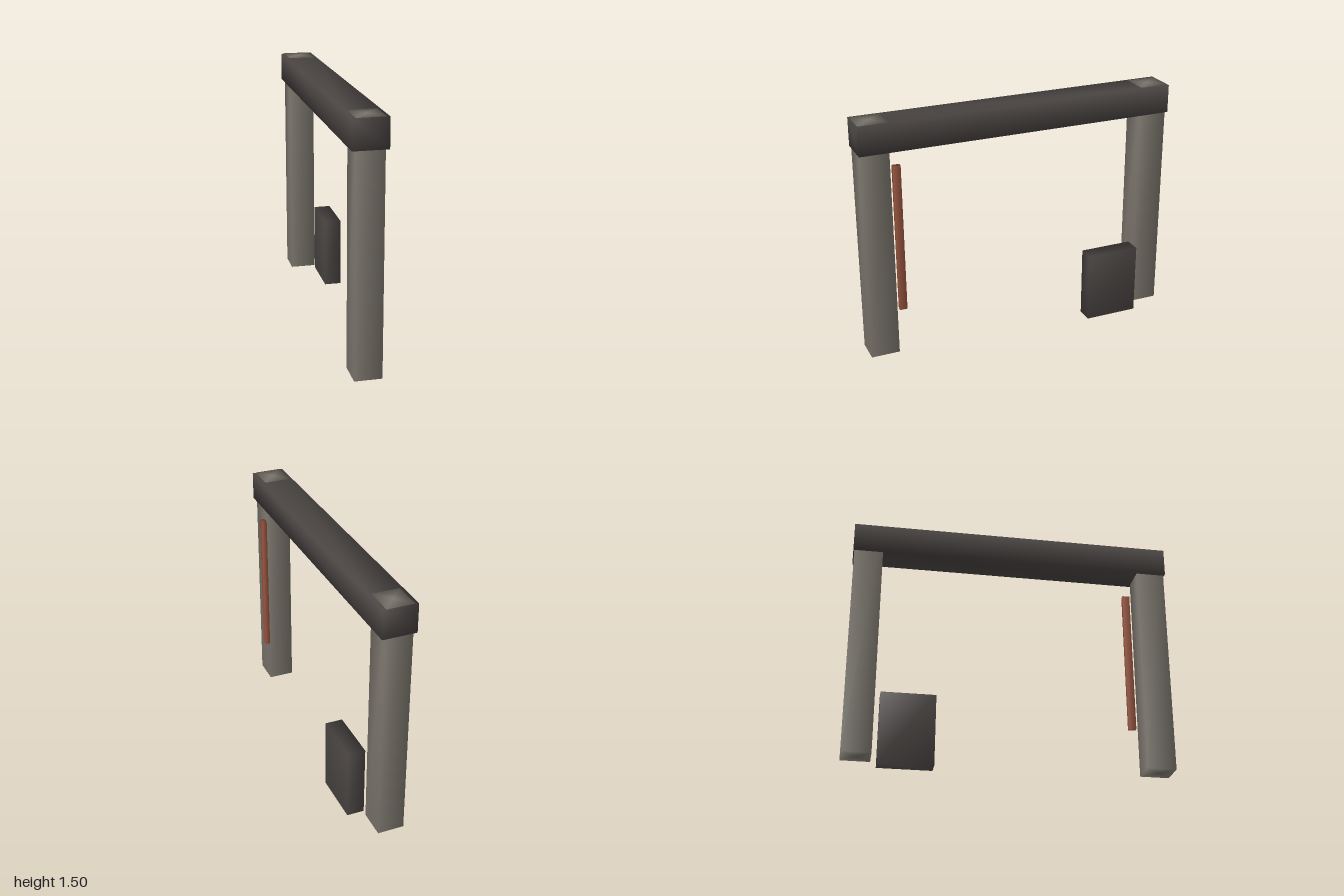
import * as THREE from 'three';
import { mergeVertices } from 'three/addons/utils/BufferGeometryUtils.js';

const material = (color) => new THREE.MeshStandardMaterial({ color });

// Share the corners so that shading flows smoothly around them
function smooth(geometry) {
  geometry.deleteAttribute('normal');
  geometry.deleteAttribute('uv');
  const merged = mergeVertices(geometry, 1e-4);
  merged.computeVertexNormals();
  return merged;
}

// Four-sided timber of unit size along y, with fanned end caps
const timber = () => new THREE.CylinderGeometry(Math.SQRT1_2, Math.SQRT1_2, 1, 4).rotateY(Math.PI / 4);

export function createModel() {
  const group = new THREE.Group();
  const add = (name, geometry, mat, x, y, z) => {
    const mesh = new THREE.Mesh(smooth(geometry), mat);
    mesh.name = name;
    mesh.position.set(x, y, z);
    group.add(mesh);
  };
  const postMat = material(0x7d776e);
  const darkMat = material(0x4a4543);
  const barMat = material(0x9a5640);

  // Two upright posts, their tops just proud of the beam
  for (const [name, side] of [['frontPost', 1], ['backPost', -1]]) {
    add(name, timber().scale(0.163, 1.5, 0.178), postMat, -0.042, 0.75, side * 0.905);
  }

  // Beam across the posts
  add('beam', timber().rotateX(Math.PI / 2).scale(0.206, 0.175, 2), darkMat, -0.042, 1.4085, 0);

  // Thin upright bar beside the front post
  add('bar', new THREE.BoxGeometry(0.03, 0.93, 0.046), barMat, 0.07, 0.78, 0.79);

  // Low block beside the back post
  add('block', new THREE.BoxGeometry(0.107, 0.448, 0.338), darkMat, 0.0875, 0.224, -0.609);

  return group;
}
